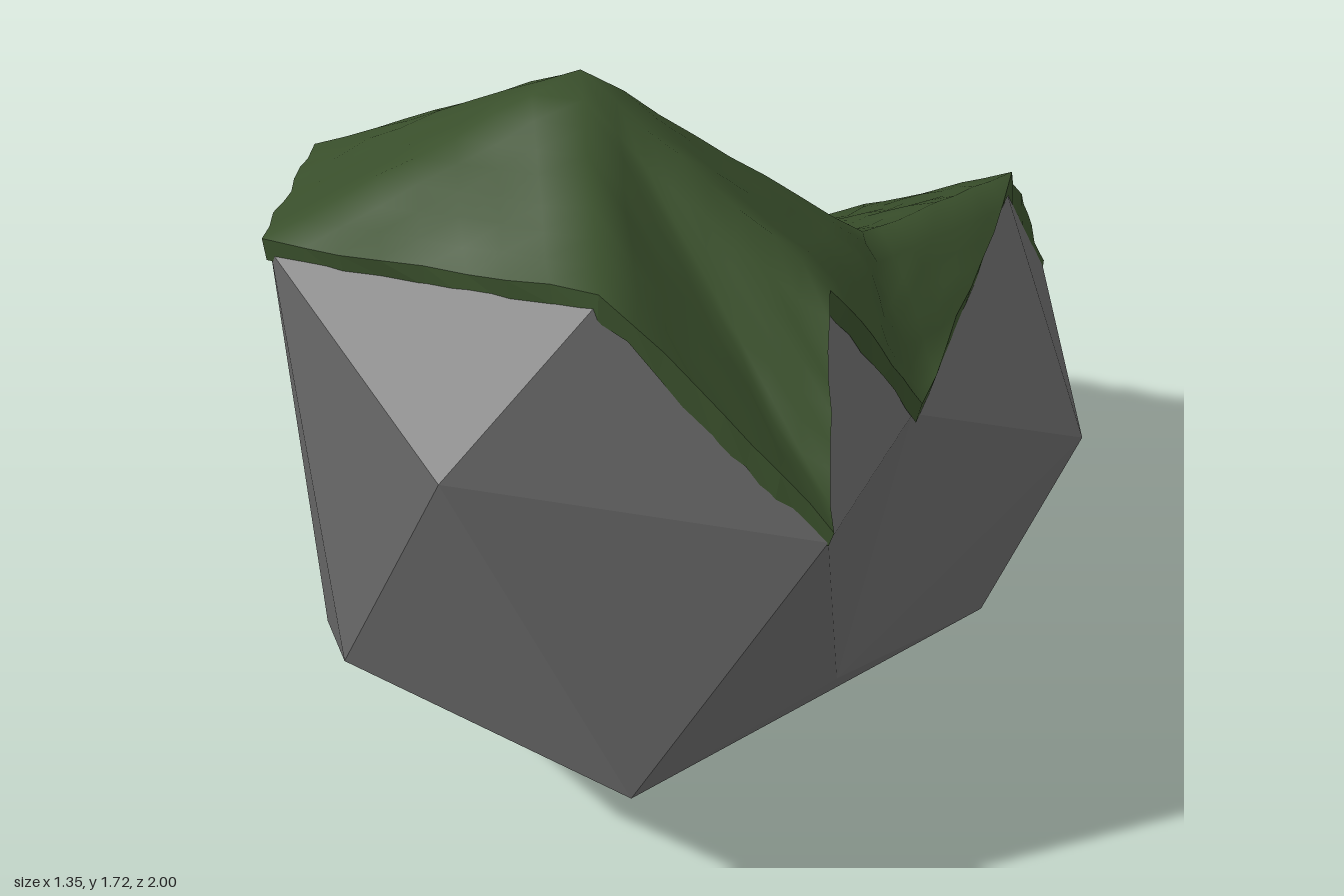
import * as THREE from 'three';
import { mergeVertices } from 'three/addons/utils/BufferGeometryUtils.js';

// Corner points of the boulder
const P = {
  A: [0.155, 1.265, 1.0], B: [-0.14, 0.665, 0.97], C: [0.415, 0.5, 0.81], D: [-0.405, 0.455, 0.74],
  E: [-0.675, 0.965, 0.35], F: [-0.38, 1.43, 0.82], G: [0.3, 1.555, 0.73], H: [0.668, 1.08, 0.55],
  I: [-0.02, 1.69, 0.37], J: [-0.59, 1.34, 0.45], K: [0.065, 0, -0.68], L: [0.46, 0.14, -0.37],
  M: [0.525, 0.47, -0.64], N: [0.2, 0.575, -0.995], O: [0.26, 0.98, -0.7], P: [0.485, 0.925, -0.01],
  Q: [0.46, 0.36, 0.19], R: [-0.185, 0.655, -0.78], S: [-0.315, 0.33, 0], T: [-0.355, 0.825, -0.09],
  U: [-0.41, 1.32, 0.1], V: [0.26, 1.15, -0.14], X: [0.455, 1.36, 0.27],
};

// Facets, counter-clockwise from outside
const topFaces = 'FGI GHI HXI XVI VUI UJI JFI XPV POV ORV RTV TUV ONR'.split(' ');
const sideFaces = ('FAG FBA FDB ABC ACH AHG BDC FED FJE EJU EUT ETS ESD TRS RKS DSK DKC CKL ' +
  'RNK NMK MLK NOM MOP MPQ MQL QCL QHC QPH PXH').split(' ');

const vec = (k) => new THREE.Vector3(...P[k]);

function fromPositions(positions) {
  const g = new THREE.BufferGeometry();
  g.setAttribute('position', new THREE.Float32BufferAttribute(positions, 3));
  return g;
}

// Repeatable value in 0..1 for a point
function noise(p, salt = 0) {
  const s = Math.sin(p.x * 127.1 + p.y * 311.7 + p.z * 74.7 + salt * 19.3) * 43758.5453;
  return s - Math.floor(s);
}

// Splits each facet into n * n small triangles
function subdivide(faces, n) {
  const out = [];
  for (const f of faces) {
    const [a, b, c] = [...f].map(vec);
    const at = (i, j) => a.clone().addScaledVector(b.clone().sub(a), i / n).addScaledVector(c.clone().sub(a), j / n);
    const add = (...pts) => pts.forEach((p) => out.push(p.x, p.y, p.z));
    for (let i = 0; i < n; i++) {
      for (let j = 0; j < n - i; j++) {
        add(at(i, j), at(i + 1, j), at(i, j + 1));
        if (i + j < n - 1) add(at(i + 1, j), at(i + 1, j + 1), at(i, j + 1));
      }
    }
  }
  return out;
}

// Open edges of an indexed geometry
function openEdges(g) {
  const idx = g.index.array;
  const edges = new Map();
  for (let i = 0; i < idx.length; i += 3) {
    for (let k = 0; k < 3; k++) {
      const a = idx[i + k], b = idx[i + (k + 1) % 3];
      if (!edges.delete(`${b}_${a}`)) edges.set(`${a}_${b}`, [a, b]);
    }
  }
  return [...edges.values()];
}

function createMoss(material) {
  const moss = new THREE.Group();
  moss.name = 'moss';

  // Cover that follows the top facets, lifted along its normals
  const cover = mergeVertices(fromPositions(subdivide(topFaces, 8)), 1e-3);
  cover.computeVertexNormals();
  const edges = openEdges(cover);
  const rim = new Set(edges.flat());
  const pos = cover.attributes.position;
  const nor = cover.attributes.normal;
  const lower = {};
  for (let i = 0; i < pos.count; i++) {
    const p = new THREE.Vector3().fromBufferAttribute(pos, i);
    const n = new THREE.Vector3().fromBufferAttribute(nor, i);
    let lift = 0.024 + 0.01 * noise(p);
    if (rim.has(i)) {
      // Ragged hem hanging just over the rock, thinning out at the rear and side tips
      const rearTip = p.z < -0.9;
      const out = new THREE.Vector3(p.x, 0, p.z * 0.5).normalize();
      const reach = rearTip || p.x > 0.6 ? 0.001 : 0.012;
      lower[i] = p.clone().addScaledVector(out, reach * 0.7);
      lower[i].y -= rearTip ? 0.003 : 0.004 + 0.035 * noise(p, 1);
      p.addScaledVector(out, reach * noise(p, 2));
      n.y += 1;
      n.normalize();
      if (rearTip) lift *= 0.4;
    }
    p.addScaledVector(n, lift);
    pos.setXYZ(i, p.x, p.y, p.z);
  }
  cover.computeVertexNormals();
  const coverMesh = new THREE.Mesh(cover, material);
  coverMesh.name = 'mossCover';

  // Thick edge between the cover and the hem
  const hem = [];
  for (const [a, b] of edges) {
    const ta = new THREE.Vector3().fromBufferAttribute(pos, a);
    const tb = new THREE.Vector3().fromBufferAttribute(pos, b);
    for (const p of [ta, lower[a], lower[b], ta, lower[b], tb]) hem.push(p.x, p.y, p.z);
  }
  const hemGeometry = fromPositions(hem);
  hemGeometry.computeVertexNormals();
  const hemMesh = new THREE.Mesh(hemGeometry, material);
  hemMesh.name = 'mossEdge';

  moss.add(coverMesh, hemMesh);
  return moss;
}

export function createModel() {
  const group = new THREE.Group();
  group.name = 'mossyBoulder';

  // Faceted stone
  const stone = fromPositions(subdivide([...topFaces, ...sideFaces], 1));
  stone.computeVertexNormals();
  const rock = new THREE.Mesh(stone, new THREE.MeshStandardMaterial({ color: 0x666666, flatShading: true }));
  rock.name = 'rock';

  const green = new THREE.MeshStandardMaterial({ color: 0x3a502c, side: THREE.DoubleSide });
  group.add(rock, createMoss(green));
  return group;
}
